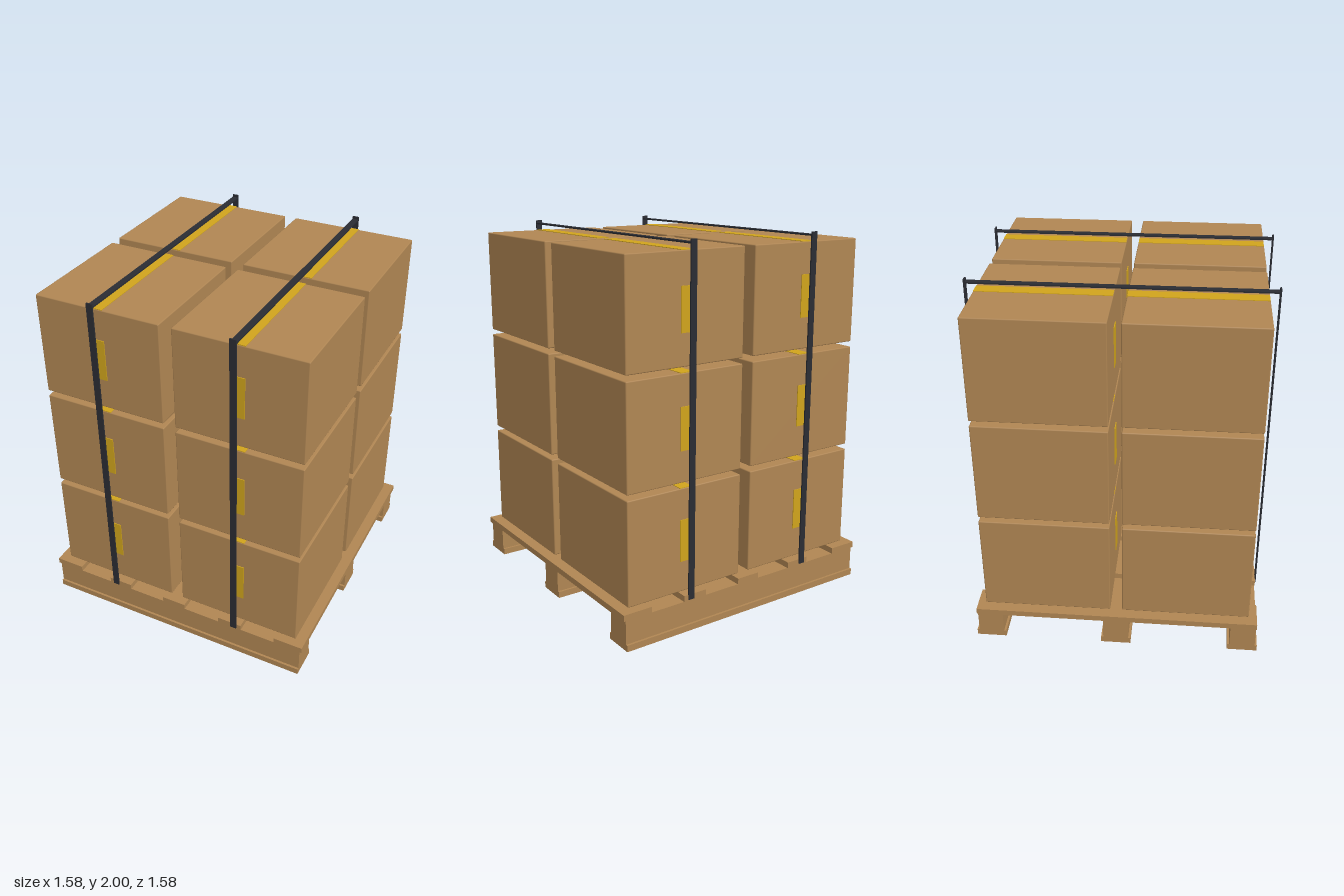
import * as THREE from 'three';
import { RoundedBoxGeometry } from 'three/addons/geometries/RoundedBoxGeometry.js';

const material = (name, color) => {
  const m = new THREE.MeshStandardMaterial({ color });
  m.name = name;
  return m;
};

export function createModel() {
  const brown = material('cardboard and wood brown', 0xb08653);
  const yellow = material('tape yellow', 0xd0a41c);
  const black = material('strap black', 0x2a2c33);

  const model = new THREE.Group();
  model.name = 'loadedPallet';

  const group = (name) => {
    const g = new THREE.Group();
    g.name = name;
    model.add(g);
    return g;
  };
  const add = (parent, name, geometry, mat, x, y, z) => {
    const mesh = new THREE.Mesh(geometry, mat);
    mesh.name = name;
    mesh.position.set(x, y, z);
    parent.add(mesh);
  };
  const box = (w, h, d) => new THREE.BoxGeometry(w, h, d);

  // Pallet: three runners on foot boards, five deck boards across them
  const pallet = group('pallet');
  for (const z of [-0.705, 0, 0.705]) {
    add(pallet, 'footBoard', box(1.55, 0.035, 0.165), brown, 0, 0.0175, z);
    add(pallet, 'runner', box(1.55, 0.13, 0.14), brown, 0, 0.1, z);
  }
  for (const [x, width] of [[-0.705, 0.165], [-0.353, 0.138], [0, 0.138], [0.353, 0.138], [0.705, 0.165]]) {
    add(pallet, 'deckBoard', box(width, 0.033, 1.556), brown, x, 0.1815, 0);
  }

  // Cartons: three layers of four, each taped on top and down two sides
  const size = 0.7, height = 0.562, offset = 0.383;
  const cartonGeometry = new RoundedBoxGeometry(size, height, size, 1, 0.006);
  const topTape = box(0.072, 0.004, size - 0.004);
  const sideTape = box(0.072, 0.226, 0.005);
  const cartons = group('cartons');
  for (let layer = 0; layer < 3; layer++) {
    const y = 0.203 + height / 2 + layer * 0.591;
    for (const x of [-offset, offset]) {
      for (const z of [-offset, offset]) {
        add(cartons, 'carton', cartonGeometry, brown, x, y, z);
        add(cartons, 'topTape', topTape, yellow, x, y + height / 2 + 0.001, z);
        for (const side of [-1, 1]) {
          add(cartons, 'sideTape', sideTape, yellow, x, y, z + side * (size / 2 + 0.002));
        }
      }
    }
  }

  // Straps: two bands over the load, front to back
  const straps = group('straps');
  for (const x of [-0.38, 0.38]) {
    add(straps, 'topStrap', box(0.035, 0.008, 1.56), black, x, 1.982, 0);
    for (const z of [-0.78, 0.78]) {
      add(straps, 'sideStrap', box(0.035, 1.828, 0.008), black, x, 1.086, z);
    }
  }
  return model;
}
